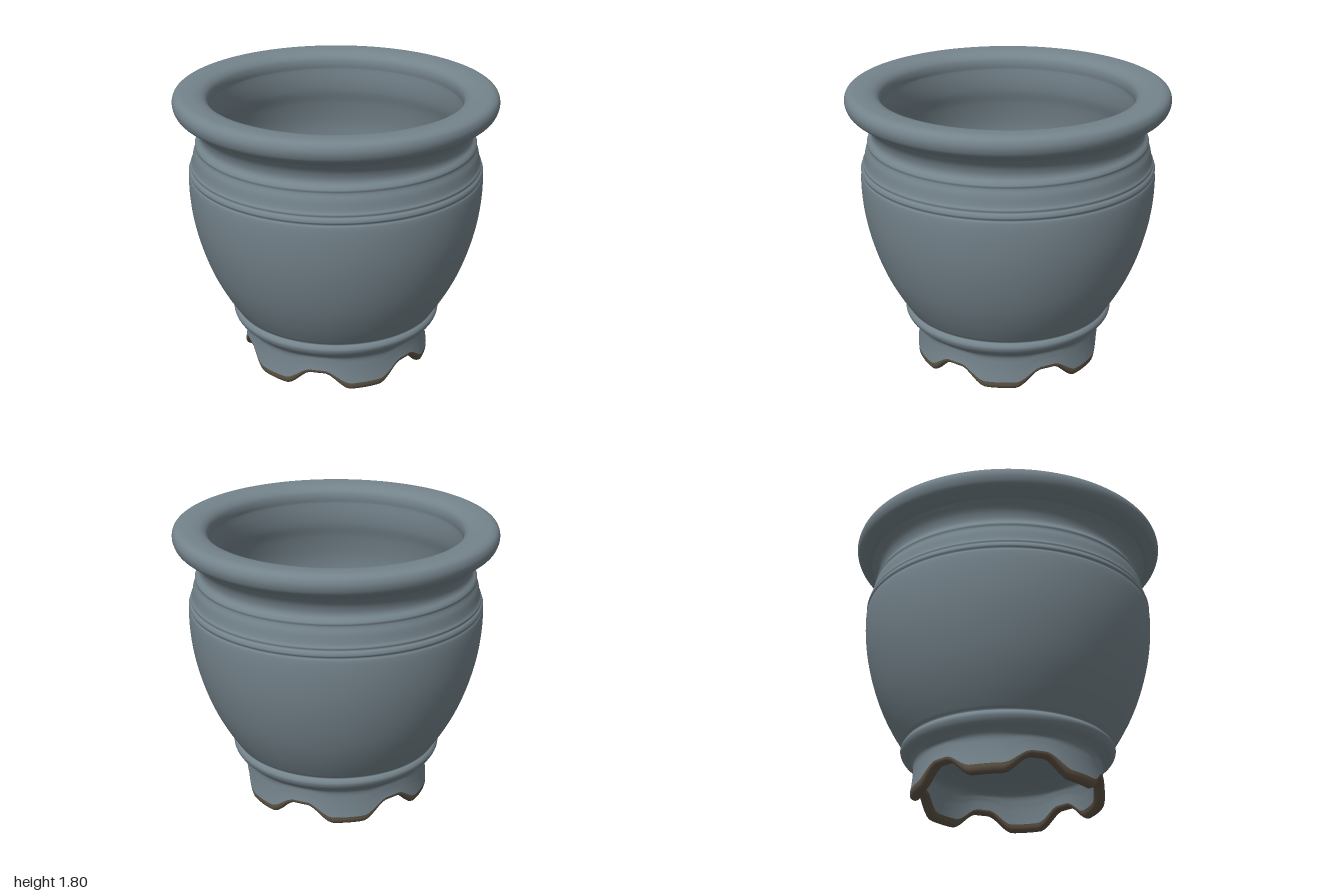
import * as THREE from 'three';
import { mergeVertices } from 'three/addons/utils/BufferGeometryUtils.js';

const SEGMENTS = 144;
const SKIRT_TOP = 0.25;

const glaze = new THREE.MeshStandardMaterial({ color: 0x74838b });
glaze.name = 'blue grey glaze';
const clay = new THREE.MeshStandardMaterial({ color: 0x5e5345 });
clay.name = 'bare brown clay';

// 1 at the middle of each of the six arches, 0 on the feet between them
function archAmount(phi) {
  const step = Math.PI / 3;
  const fromArch = Math.abs(phi - Math.round(phi / step) * step);
  return 1 - THREE.MathUtils.smoothstep(THREE.MathUtils.radToDeg(fromArch), 4, 21);
}

// Smooth turned surface; everything below the skirt top is lifted into arches
function turned(name, profile, divisions, material) {
  const curve = new THREE.CatmullRomCurve3(profile.map(([r, y]) => new THREE.Vector3(r, y, 0)));
  const points = curve.getPoints(divisions).map((p) => new THREE.Vector2(Math.max(p.x, 0), p.y));
  let geometry = new THREE.LatheGeometry(points, SEGMENTS);
  const pos = geometry.attributes.position;
  for (let i = 0; i < pos.count; i++) {
    const y = pos.getY(i);
    if (y >= SKIRT_TOP) continue;
    const arch = archAmount(Math.atan2(pos.getX(i), pos.getZ(i)));
    const weight = 1 - y / SKIRT_TOP;
    const pull = 1 - 0.025 * arch * weight;
    pos.setXYZ(i, pos.getX(i) * pull, y + 0.108 * arch * weight, pos.getZ(i) * pull);
  }
  // weld the seam so shading runs all the way round
  geometry.deleteAttribute('uv');
  geometry.deleteAttribute('normal');
  geometry = mergeVertices(geometry, 1e-5);
  geometry.computeVertexNormals();
  const mesh = new THREE.Mesh(geometry, material);
  mesh.name = name;
  return mesh;
}

export function createModel() {
  const pot = new THREE.Group();
  pot.name = 'plantPot';

  // outer wall: skirt, foot moulding, belly, banded shoulder and neck
  pot.add(turned('outerWall', [
    [0.6, 0.052], [0.593, 0.1], [0.587, 0.16], [0.587, 0.22], [0.605, 0.25],
    [0.648, 0.285], [0.664, 0.31], [0.668, 0.33], [0.66, 0.347], [0.648, 0.358],
    [0.664, 0.382], [0.725, 0.48], [0.8, 0.63], [0.86, 0.8], [0.902, 0.98],
    [0.92, 1.15], [0.918, 1.26], [0.912, 1.275], [0.919, 1.29], [0.914, 1.308],
    [0.905, 1.318], [0.907, 1.332], [0.898, 1.348], [0.885, 1.41], [0.871, 1.45],
    [0.874, 1.466], [0.867, 1.48], [0.85, 1.5], [0.845, 1.525], [0.858, 1.57],
    [0.9, 1.625],
  ], 150, glaze));

  // rolled rim
  pot.add(turned('rim', [
    [0.9, 1.625], [0.95, 1.656], [0.983, 1.682], [0.998, 1.715], [1, 1.745],
    [0.988, 1.775], [0.96, 1.792], [0.92, 1.795], [0.86, 1.79], [0.815, 1.775],
    [0.79, 1.75], [0.782, 1.715], [0.785, 1.68],
  ], 48, glaze));

  // hollow inside and floor
  pot.add(turned('innerWall', [
    [0.785, 1.68], [0.782, 1.6], [0.79, 1.52], [0.82, 1.42], [0.85, 1.25],
    [0.842, 1.08], [0.81, 0.88], [0.755, 0.7], [0.67, 0.54], [0.55, 0.44],
    [0.35, 0.4], [0, 0.39],
  ], 64, glaze));

  // underside and inner face of the foot skirt
  pot.add(turned('underside', [
    [0, 0.27], [0.25, 0.27], [0.43, 0.262], [0.495, 0.23], [0.515, 0.17],
    [0.525, 0.1], [0.53, 0.045],
  ], 40, glaze));

  // unglazed wavy edge of the feet
  pot.add(turned('footEdge', [
    [0.53, 0.045], [0.537, 0.02], [0.553, 0.003], [0.571, 0], [0.589, 0.008],
    [0.599, 0.028], [0.6, 0.052],
  ], 18, clay));

  return pot;
}
